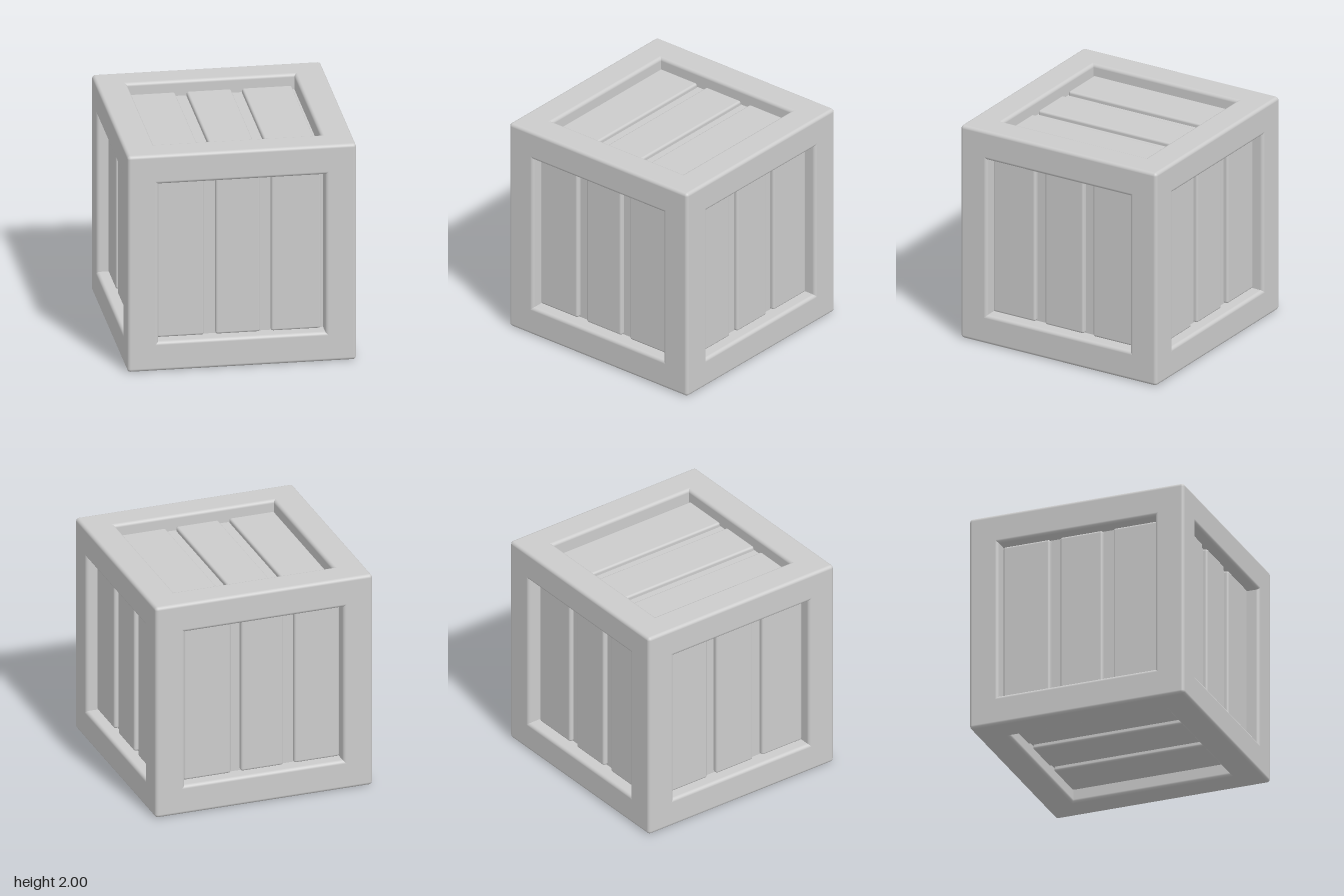
import * as THREE from 'three';
import { RoundedBoxGeometry } from 'three/addons/geometries/RoundedBoxGeometry.js';

const BEAM = 0.27;       // thickness of the frame beams
const PLANK_FACE = 0.9;  // distance of the plank faces from the centre
const PLANK_THICK = 0.1;
const PANEL = 0.86;      // distance of the backing panel from the centre

export function createModel() {
  const crate = new THREE.Group();
  crate.name = 'crate';
  const material = new THREE.MeshStandardMaterial({ color: 0xcccccc });

  const add = (name, geometry, position) => {
    const mesh = new THREE.Mesh(geometry, material);
    mesh.name = name;
    mesh.position.set(...position);
    crate.add(mesh);
  };

  // Frame: four rounded beams along each axis
  const offset = 1 - BEAM / 2;
  ['crossBeam', 'post', 'sideBeam'].forEach((name, axis) => {
    const size = [BEAM, BEAM, BEAM];
    size[axis] = 2;
    const beam = new RoundedBoxGeometry(...size, 4, 0.03);
    for (const a of [-1, 1]) {
      for (const b of [-1, 1]) {
        const position = [0, 1, 0];
        position[(axis + 1) % 3] += a * offset;
        position[(axis + 2) % 3] += b * offset;
        add(name, beam, position);
      }
    }
  });

  // Backing panels seen between the planks
  add('innerPanels', new THREE.BoxGeometry(PANEL * 2, PANEL * 2, PANEL * 2), [0, 1, 0]);

  // Three planks on each face: normal axis, axis across the planks, axis along them
  const spansX = [[-0.73, -0.315], [-0.215, 0.175], [0.27, 0.705]];
  const spansZ = [[-0.725, -0.29], [-0.195, 0.2], [0.3, 0.73]];
  const walls = [
    { name: 'endPlank', normal: 2, across: 0, along: 1, spans: spansX },
    { name: 'sidePlank', normal: 0, across: 2, along: 1, spans: spansZ },
    { name: 'lidPlank', normal: 1, across: 0, along: 2, spans: spansX },
  ];
  for (const { name, normal, across, along, spans } of walls) {
    for (const [from, to] of spans) {
      const size = [];
      size[normal] = PLANK_THICK;
      size[across] = to - from;
      size[along] = 1.455;
      const plank = new RoundedBoxGeometry(...size, 3, 0.02);
      for (const side of [-1, 1]) {
        const position = [0, 1, 0];
        position[normal] += side * (PLANK_FACE - PLANK_THICK / 2);
        position[across] += (from + to) / 2;
        add(name, plank, position);
      }
    }
  }
  return crate;
}
